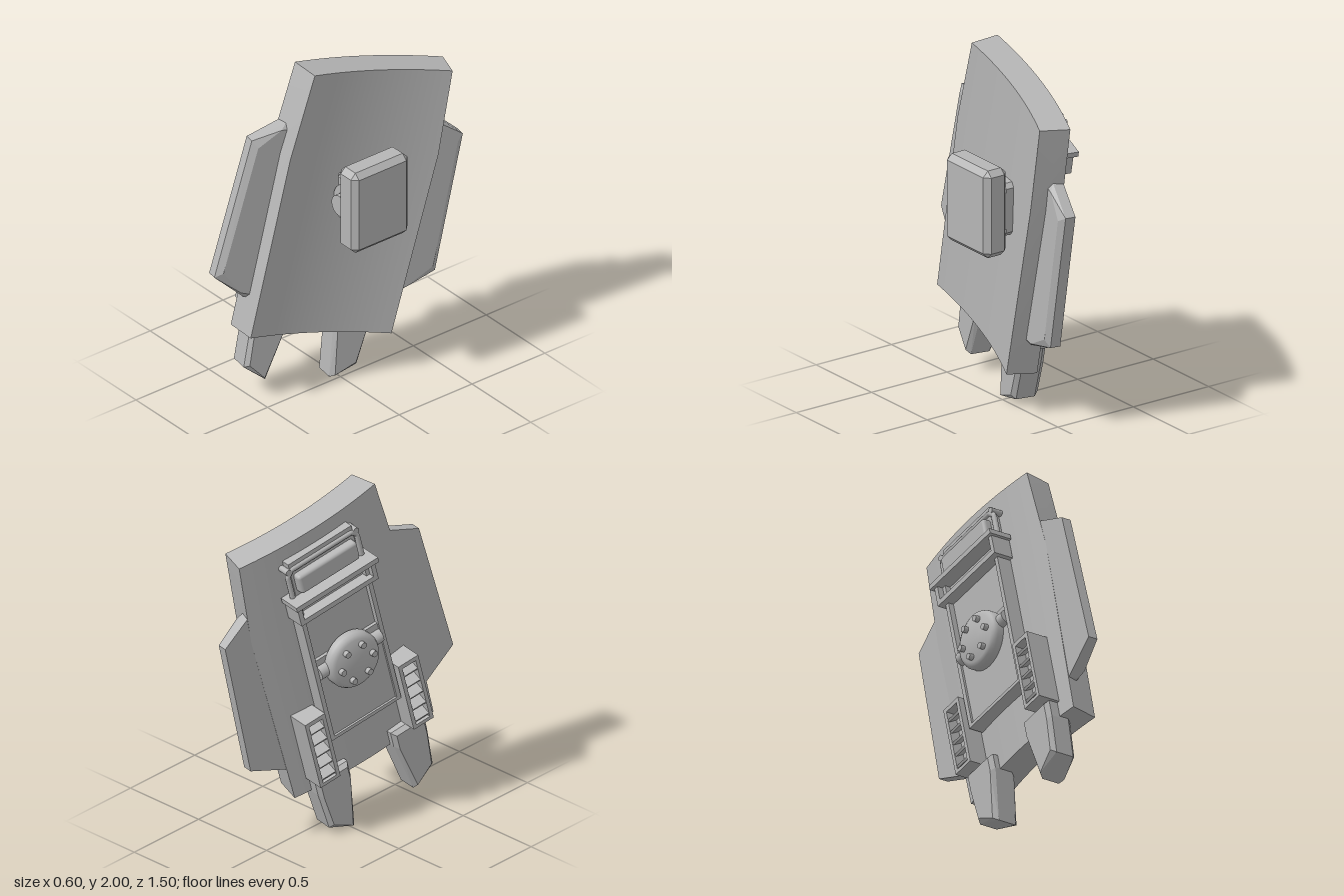
import * as THREE from 'three';
import { toCreasedNormals } from 'three/addons/utils/BufferGeometryUtils.js';
import { ConvexGeometry } from 'three/addons/geometries/ConvexGeometry.js';
import { RoundedBoxGeometry } from 'three/addons/geometries/RoundedBoxGeometry.js';

export function createModel() {
  const root = new THREE.Group();
  root.name = 'armourShield';
  const grey = new THREE.MeshStandardMaterial({ color: 0xb6b6b6 });
  grey.name = 'plain grey';

  const add = (parent, name, geo) => {
    const mesh = new THREE.Mesh(geo, grey);
    mesh.name = name;
    parent.add(mesh);
    return mesh;
  };
  // box given by its ranges along x, y and z
  const box = (parent, name, x, y, z) => {
    const geo = new THREE.BoxGeometry(x[1] - x[0], y[1] - y[0], z[1] - z[0]);
    geo.translate((x[0] + x[1]) / 2, (y[0] + y[1]) / 2, (z[0] + z[1]) / 2);
    return add(parent, name, geo);
  };
  // box with every edge cut off
  const chamferBox = (w, h, d, c) => {
    const pts = [];
    for (const i of [-0.5, 0.5]) for (const j of [-0.5, 0.5]) for (const k of [-0.5, 0.5]) {
      const s = [Math.sign(i) * c, Math.sign(j) * c, Math.sign(k) * c];
      pts.push(new THREE.Vector3(i * w, j * h - s[1], k * d - s[2]));
      pts.push(new THREE.Vector3(i * w - s[0], j * h, k * d - s[2]));
      pts.push(new THREE.Vector3(i * w - s[0], j * h - s[1], k * d));
    }
    return new ConvexGeometry(pts);
  };
  // convex slab from [y, z] outlines stacked along x, mirrored by side;
  // each layer is [x, shrink towards the outline's centre]
  const slab = (outline, layers, side) => {
    const cy = outline.reduce((a, p) => a + p[0], 0) / outline.length;
    const cz = outline.reduce((a, p) => a + p[1], 0) / outline.length;
    return new ConvexGeometry(layers.flatMap(([x, inset]) => outline.map(([y, z]) => {
      const ny = y - Math.sign(y - cy) * inset, nz = z - Math.sign(z - cz) * inset;
      return new THREE.Vector3(x, ny, nz * side);
    })));
  };

  // the shield's own frame: leaning back and turned slightly
  const shield = new THREE.Group();
  shield.name = 'shield';
  shield.position.set(0.092, 1.134, -0.007);
  shield.rotation.set(-0.253, -0.18, -0.038);
  root.add(shield);

  // curved plate: a box bent round a distant upright axis
  const plate = new THREE.BoxGeometry(1, 1, 1, 1, 2, 20);
  const pos = plate.attributes.position;
  for (let i = 0; i < pos.count; i++) {
    const level = Math.round((pos.getY(i) + 0.5) * 2);
    const angle = pos.getZ(i) * 2 * [0.19, 0.2, 0.186][level];
    const r = pos.getX(i) > 0 ? 2.33 : 2.5;
    pos.setXYZ(i, 2.292 - r * Math.cos(angle), [-0.79, 0.286, 0.785][level], r * Math.sin(angle));
  }
  add(shield, 'curvedPlate', toCreasedNormals(plate, 0.5));

  for (const side of [1, -1]) {
    // side wings
    const wing = [[0.46, 0.42], [0.455, 0.47], [0.35, 0.66], [-0.47, 0.69], [-0.59, 0.48], [-0.6, 0.42]];
    add(shield, 'sideWing', slab(wing, [[-0.158, 0], [-0.1, 0], [-0.075, 0.035]], side));

    // lower prongs
    const prong = [[-0.7, 0.148], [-0.7, 0.37], [-0.8, 0.37], [-1.033, 0.352], [-1.108, 0.2], [-0.79, 0.148]];
    add(shield, 'lowerProng', slab(prong, [[-0.26, 0.02], [-0.235, 0], [-0.125, 0], [-0.1, 0.02]], side));

    // louvred vents
    const vent = new THREE.Group();
    vent.name = 'vent';
    shield.add(vent);
    const span = (a, b) => (side > 0 ? [a, b] : [-b, -a]);
    box(vent, 'ventBack', [-0.25, -0.15], [-0.7, -0.27], span(0.25, 0.385));
    box(vent, 'ventInnerWall', [-0.312, -0.25], [-0.7, -0.27], span(0.25, 0.272));
    box(vent, 'ventOuterWall', [-0.312, -0.25], [-0.7, -0.27], span(0.363, 0.385));
    box(vent, 'ventTop', [-0.312, -0.25], [-0.295, -0.27], span(0.272, 0.363));
    box(vent, 'ventBottom', [-0.312, -0.25], [-0.7, -0.68], span(0.272, 0.363));
    for (let i = 0; i < 5; i++) {
      const slat = box(vent, 'ventSlat', [-0.035, 0.035], [-0.007, 0.007], span(0.272, 0.363));
      slat.position.set(-0.277, -0.645 + i * 0.077, 0);
      slat.rotation.z = 0.5;
    }

    // panel edge rails and bracket posts
    box(shield, 'panelRail', [-0.285, -0.18], [-0.47, 0.46], span(0.212, 0.238));
    box(shield, 'bracketPost', [-0.32, -0.2], [0.34, 0.46], span(0.235, 0.262));
  }

  // middle panel, with its upper half set back
  box(shield, 'lowerPanel', [-0.272, -0.18], [-0.47, 0.04], [-0.215, 0.215]);
  box(shield, 'upperPanel', [-0.252, -0.18], [0.04, 0.7], [-0.215, 0.215]);
  box(shield, 'panelFoot', [-0.285, -0.18], [-0.485, -0.465], [-0.238, 0.238]);

  // bracket across the panel
  box(shield, 'bracketLedge', [-0.34, -0.2], [0.455, 0.485], [-0.278, 0.278]);
  box(shield, 'bracketBar', [-0.32, -0.2], [0.34, 0.37], [-0.24, 0.24]);

  // pad with a handle looped round it
  const pad = add(shield, 'upperPad', new RoundedBoxGeometry(0.1, 0.12, 0.4, 2, 0.02));
  pad.position.set(-0.25, 0.565, 0);
  const loop = new THREE.CurvePath();
  const path = [[0.49, -0.235], [0.63, -0.235], [0.66, -0.205], [0.66, 0.205], [0.63, 0.235], [0.49, 0.235]]
    .map(([y, z]) => new THREE.Vector3(-0.25, y, z));
  for (let i = 1; i < path.length; i++) loop.add(new THREE.LineCurve3(path[i - 1], path[i]));
  add(shield, 'padHandle', new THREE.TubeGeometry(loop, 60, 0.016, 8));
  for (const z of [-0.23, 0.23]) {
    const pin = add(shield, 'handlePin', new THREE.CylinderGeometry(0.018, 0.018, 0.07, 12).rotateZ(Math.PI / 2));
    pin.position.set(-0.23, 0.66, z);
  }

  // hub disc with six bolts, on a cross shaft
  const shaft = add(shield, 'crossShaft', toCreasedNormals(
    new THREE.CylinderGeometry(0.042, 0.042, 0.42, 20).rotateX(Math.PI / 2), 0.6));
  shaft.position.set(-0.27, -0.04, 0);
  const hub = new THREE.Group();
  hub.name = 'hub';
  hub.position.set(-0.272, -0.06, 0);
  hub.rotation.z = Math.PI / 2;
  shield.add(hub);
  const profile = [[0.165, 0], [0.165, 0.035], [0.155, 0.055], [0.135, 0.065], [0, 0.068]]
    .map(([r, y]) => new THREE.Vector2(r, y));
  add(hub, 'hubDisc', toCreasedNormals(new THREE.LatheGeometry(profile, 36), 0.7));
  for (let i = 0; i < 6; i++) {
    const a = (i + 0.5) * Math.PI / 3;
    const bolt = add(hub, 'hubBolt', new THREE.CylinderGeometry(0.018, 0.018, 0.03, 12));
    bolt.position.set(Math.cos(a) * 0.105, 0.078, Math.sin(a) * 0.105);
  }

  // upright mounting block on the hollow side
  const block = add(root, 'mountBlock', chamferBox(0.15, 0.5, 0.388, 0.032));
  block.position.set(0.215, 1.2, -0.057);
  const neck = add(root, 'mountNeck', chamferBox(0.13, 0.3, 0.31, 0.025));
  neck.position.set(0.11, 1.2, -0.085);
  [[0.105, 0.32, -0.08], [0.062, 0.37, -0.055]].forEach(([r, len, z]) => {
    const geo = new THREE.CylinderGeometry(r, r, len, 28).rotateX(Math.PI / 2);
    add(root, 'mountPivot', toCreasedNormals(geo, 0.6)).position.set(0.148, 1.2, z);
  });
  return root;
}
